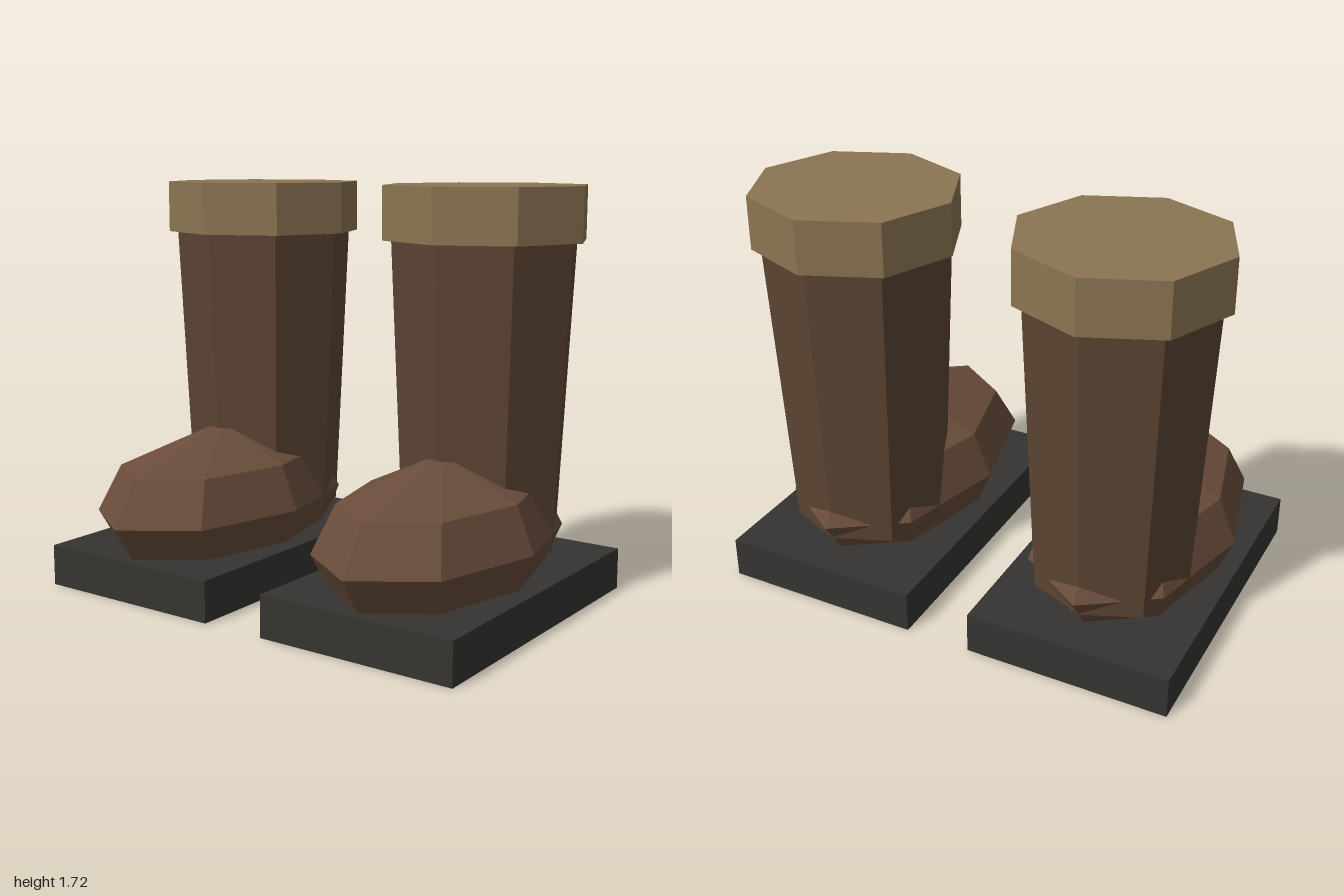
import * as THREE from 'three';

const material = (color) => new THREE.MeshStandardMaterial({ color, flatShading: true });

export function createModel() {
  const leather = material(0x5c4433);
  const toeLeather = material(0x6a4d3b);
  const trim = material(0x8b7553);
  const rubber = material(0x353431);

  const soleGeo = new THREE.BoxGeometry(0.86, 0.175, 1.38);
  const shaftGeo = new THREE.CylinderGeometry(0.392, 0.333, 1.25, 8);
  const cuffGeo = new THREE.CylinderGeometry(0.43, 0.43, 0.22, 8);

  // Foot: faceted eight-sided ball, stretched lengthwise below
  const profile = [[0, 0.003], [0.06, 0.003], [0.338, 0.135], [0.415, 0.325],
    [0.338, 0.515], [0.06, 0.645], [0, 0.645]];
  const footGeo = new THREE.LatheGeometry(profile.map(([r, y]) => new THREE.Vector2(r, y)), 8);

  const makeBoot = (name, x) => {
    const boot = new THREE.Group();
    boot.name = name;
    boot.position.x = x;
    const add = (part, geo, mat, y, z, stretch = 1) => {
      const mesh = new THREE.Mesh(geo, mat);
      mesh.name = part;
      mesh.position.set(0, y, z);
      mesh.scale.z = stretch;
      boot.add(mesh);
    };
    add('sole', soleGeo, rubber, 0.0875, -0.03);
    add('foot', footGeo, toeLeather, 0, 0.035, 1.65);
    add('shaft', shaftGeo, leather, 0.875, -0.277, 0.975);
    add('cuff', cuffGeo, trim, 1.61, -0.277, 0.975);
    return boot;
  };

  const model = new THREE.Group();
  model.name = 'boots';
  model.add(makeBoot('leftBoot', 0.57), makeBoot('rightBoot', -0.57));
  return model;
}
